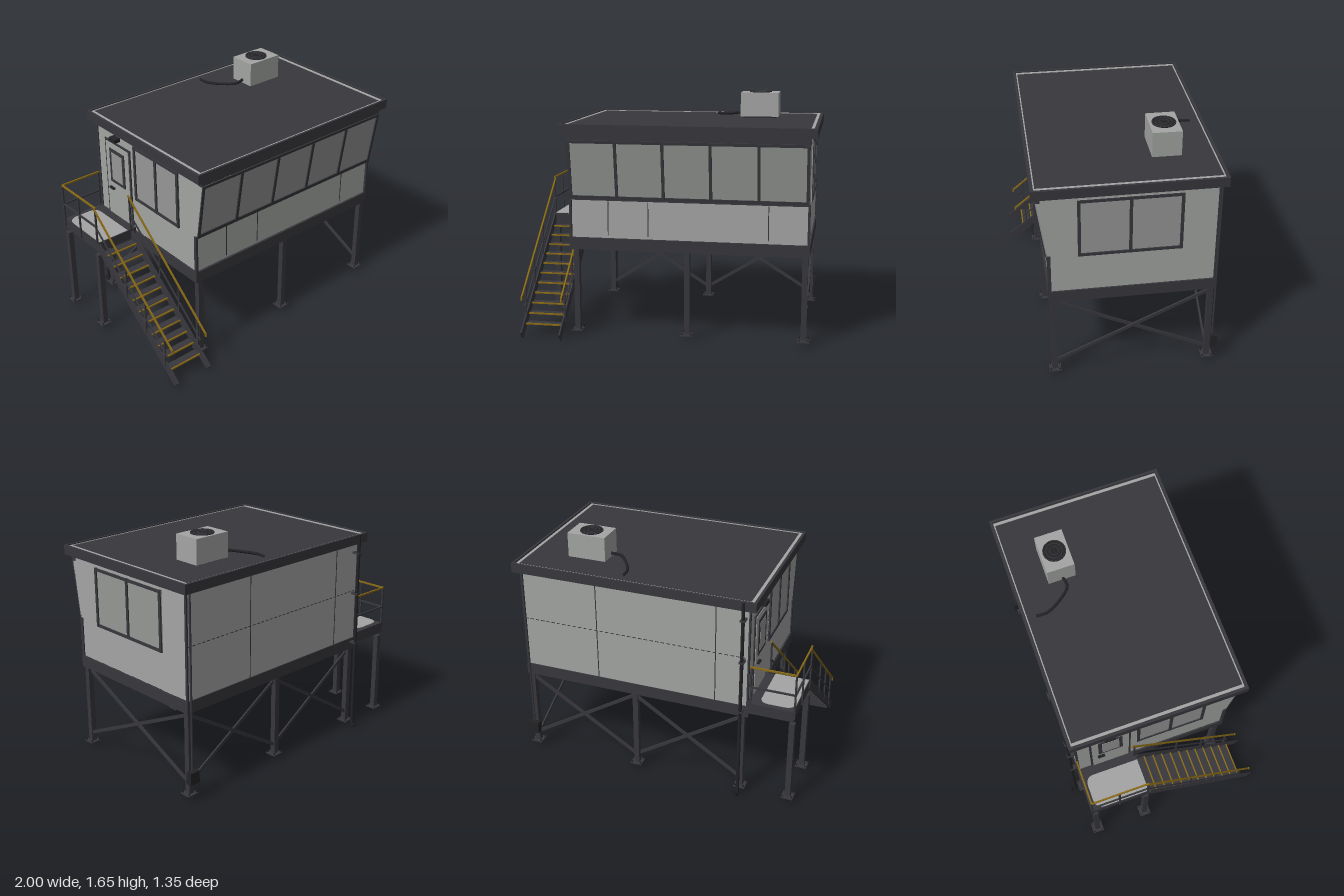
import * as THREE from 'three';

const mat = (name, color, side = THREE.FrontSide) => {
  const m = new THREE.MeshStandardMaterial({ color, side });
  m.name = name;
  return m;
};

export function createModel() {
  const steel = mat('dark steel', 0x38373d);
  const black = mat('black rubber', 0x232326);
  const wall = mat('light grey panel', 0xa3a5a3);
  const glass = mat('grey glass', 0x959795);
  const yellow = mat('safety yellow', 0x8a6a14);
  const root = new THREE.Group();
  root.name = 'raisedCabin';

  const add = (name, geo, m, parent = root) => {
    const o = new THREE.Mesh(geo, m);
    o.name = name;
    parent.add(o);
    return o;
  };
  // box given by its limits on each axis
  const box = (name, m, x0, x1, y0, y1, z0, z1, parent) => {
    const o = add(name, new THREE.BoxGeometry(x1 - x0, y1 - y0, z1 - z0), m, parent);
    o.position.set((x0 + x1) / 2, (y0 + y1) / 2, (z0 + z1) / 2);
    return o;
  };
  // straight bar between two points
  const bar = (name, m, a, b, w, h = w) => {
    const p = new THREE.Vector3(...a), q = new THREE.Vector3(...b);
    const o = add(name, new THREE.BoxGeometry(w, h, p.distanceTo(q)), m);
    o.position.copy(p).add(q).multiplyScalar(0.5);
    o.lookAt(q);
    return o;
  };
  const pipe = (name, m, pts, r, tension = 0.5) => {
    const c = new THREE.CatmullRomCurve3(pts.map(p => new THREE.Vector3(...p)), false, 'catmullrom', tension);
    return add(name, new THREE.TubeGeometry(c, pts.length * 8, r, 8), m);
  };
  // framed window in its own plane, facing local +z
  const windowUnit = (name, w, h, panes, bw) => {
    const g = new THREE.Group();
    g.name = name;
    root.add(g);
    box('windowGlass', glass, -w / 2, w / 2, -h / 2, h / 2, 0, 0.006, g);
    for (let i = 0; i <= panes; i++) {
      const x = -w / 2 + bw / 2 + (w - bw) * i / panes;
      box('windowMullion', steel, x - bw / 2, x + bw / 2, -h / 2, h / 2, 0, 0.014, g);
    }
    for (const s of [-1, 1]) {
      const y = s * (h - bw) / 2;
      box('windowRail', steel, -w / 2, w / 2, y - bw / 2, y + bw / 2, 0, 0.013, g);
    }
    return g;
  };

  // cabin body with outward leaning front
  const L = -0.655, R = 0.955;
  const profile = new THREE.Shape([[-0.585, 0.71], [0.485, 0.71], [0.485, 0.98], [0.497, 0.985], [0.555, 1.385], [0.555, 1.435], [-0.585, 1.435]]
    .map(p => new THREE.Vector2(...p)));
  const body = add('cabinBody', new THREE.ExtrudeGeometry(profile, { depth: R - L, bevelEnabled: false }), wall);
  body.rotation.y = -Math.PI / 2;
  body.position.x = R;
  box('frontHeader', steel, L - 0.005, R + 0.005, 1.38, 1.43, 0.53, 0.56);
  box('frontSill', steel, L, R, 0.972, 0.988, 0.48, 0.503);
  for (const x of [L, R]) {
    box('frontCornerTrim', steel, x - 0.008, x + 0.008, 0.71, 0.985, 0.478, 0.5);
    box('backCornerTrim', steel, x - 0.006, x + 0.006, 0.71, 1.43, -0.59, -0.574);
  }
  for (const x of [-0.395, -0.12, 0.69]) box('frontPanelSeam', steel, x - 0.003, x + 0.003, 0.73, 0.965, 0.484, 0.487);
  for (const x of [0.41, -0.43]) box('backPanelSeam', steel, x - 0.003, x + 0.003, 0.71, 1.43, -0.587, -0.584);
  for (let i = 0; i < 40; i++) {
    const x = L + 0.02 + i * 0.04;
    box('backSeamDash', steel, x, x + 0.024, 1.068, 1.073, -0.587, -0.584);
  }

  // windows
  const front = windowUnit('frontWindows', R - L, 0.404, 5, 0.02);
  front.position.set((L + R) / 2, 1.185, 0.526);
  front.rotation.x = Math.atan2(0.058, 0.4);
  const right = windowUnit('rightSideWindow', 0.665, 0.41, 2, 0.02);
  right.position.set(R, 1.18, -0.027);
  right.rotation.y = Math.PI / 2;
  const left = windowUnit('leftSideWindow', 0.48, 0.41, 2, 0.02);
  left.position.set(L, 1.18, 0.085);
  left.rotation.y = -Math.PI / 2;

  // door with window, handle and lamp
  box('doorFrame', steel, L - 0.008, L, 0.72, 1.325, -0.49, -0.2);
  box('doorLeaf', wall, L - 0.012, L, 0.725, 1.31, -0.475, -0.215);
  box('doorWindowFrame', steel, L - 0.017, L, 1.01, 1.27, -0.43, -0.26);
  box('doorWindowGlass', glass, L - 0.019, L, 1.035, 1.245, -0.405, -0.285);
  box('doorHandle', black, L - 0.03, L, 0.955, 0.967, -0.44, -0.39);
  box('doorLamp', black, L - 0.045, L, 1.352, 1.378, -0.385, -0.315);

  // roof slab, parapet and pale edge flashing
  box('roofDeck', steel, -0.69, 0.99, 1.43, 1.481, -0.615, 0.575);
  for (const [x0, x1] of [[-0.705, -0.688], [0.983, 1]]) box('sideFascia', steel, x0, x1, 1.425, 1.49, -0.625, 0.588);
  for (const [z0, z1] of [[-0.628, -0.612], [0.573, 0.588]]) box('longFascia', steel, -0.705, 1, 1.425, 1.49, z0, z1);
  for (const [x0, x1] of [[-0.683, -0.663], [0.955, 0.975]]) box('sideFlashing', wall, x0, x1, 1.478, 1.485, -0.607, 0.566);
  for (const z of [-0.607, 0.558]) box('longFlashing', wall, -0.683, 0.975, 1.478, 1.485, z, z + 0.008);

  // rooftop cooling unit and hose
  box('coolerFoot', black, 0.44, 0.67, 1.48, 1.495, -0.37, -0.22);
  box('coolerBody', wall, 0.42, 0.69, 1.49, 1.66, -0.39, -0.2);
  add('coolerFan', new THREE.CylinderGeometry(0.078, 0.078, 0.006, 32), black).position.set(0.555, 1.662, -0.295);
  for (const r of [0.03, 0.054, 0.075]) {
    const ring = add('fanGuardRing', new THREE.TorusGeometry(r, 0.003, 6, 32), steel);
    ring.rotation.x = Math.PI / 2;
    ring.position.set(0.555, 1.665, -0.295);
  }
  pipe('coolerHose', black, [[0.43, 1.515, -0.29], [0.35, 1.505, -0.285], [0.275, 1.495, -0.37], [0.23, 1.49, -0.46], [0.23, 1.485, -0.54]], 0.01);

  // floor frame and joists
  box('floorSlab', black, L, R, 0.68, 0.715, -0.58, 0.48);
  for (const [z0, z1] of [[-0.592, -0.555], [0.46, 0.5]]) box('longFloorBeam', steel, -0.665, 0.965, 0.63, 0.712, z0, z1);
  for (const [x0, x1] of [[-0.665, -0.63], [0.93, 0.965]]) box('sideFloorBeam', steel, x0, x1, 0.63, 0.712, -0.59, 0.498);
  for (let i = 1; i < 8; i++) {
    const x = -0.648 + i * 0.2;
    box('floorJoist', steel, x - 0.012, x + 0.012, 0.645, 0.69, -0.56, 0.465);
  }

  // legs with foot plates
  const leg = (x, z) => {
    box('leg', steel, x - 0.019, x + 0.019, 0.05, 0.64, z - 0.019, z + 0.019);
    box('footPlate', steel, x - 0.04, x + 0.04, 0.05, 0.06, z - 0.04, z + 0.04);
    for (const sx of [-1, 1]) for (const sz of [-1, 1])
      add('anchorBolt', new THREE.CylinderGeometry(0.005, 0.005, 0.016, 6), black).position.set(x + sx * 0.03, 0.064, z + sz * 0.03);
  };
  const legX = [-0.62, 0.145, 0.935];
  for (const x of legX) for (const z of [0.47, -0.565]) leg(x, z);
  for (const z of [-0.195, -0.57]) leg(-0.96, z);

  // cross braces on back and right side
  for (let i = 0; i < 2; i++) {
    const a = legX[i], b = legX[i + 1];
    bar('backBrace', steel, [a, 0.12, -0.57], [b, 0.61, -0.57], 0.012, 0.022);
    bar('backBrace', steel, [a, 0.61, -0.557], [b, 0.12, -0.557], 0.012, 0.022);
  }
  bar('sideBrace', steel, [0.942, 0.12, 0.47], [0.942, 0.61, -0.56], 0.012, 0.022);
  bar('sideBrace', steel, [0.929, 0.61, 0.47], [0.929, 0.12, -0.56], 0.012, 0.022);

  // downpipe, conduit and junction box
  pipe('downpipe', black, [[-0.62, 1.485, -0.625], [-0.62, 1.1, -0.625], [-0.62, 0.5, -0.63], [-0.62, 0.08, -0.632], [-0.62, 0.02, -0.64], [-0.62, 0.055, -0.668]], 0.012, 0.2);
  for (const y of [0.68, 1.05, 1.35]) box('pipeBracket', steel, -0.637, -0.603, y, y + 0.012, -0.64, -0.58);
  pipe('conduit', steel, [[0.94, 0.2, -0.6], [0.94, 0.8, -0.6], [0.94, 1.43, -0.6]], 0.007);
  box('junctionBox', black, 0.9, 0.975, 0.145, 0.23, -0.625, -0.583);

  // landing
  const PL = -0.97, PR = -0.7;
  box('landingFrame', steel, PL, -0.66, 0.665, 0.742, -0.595, -0.175);
  const deck = new THREE.Shape();
  deck.moveTo(-0.965, 0.175).lineTo(-0.73, 0.175).lineTo(-0.73, 0.5);
  deck.quadraticCurveTo(-0.73, 0.56, -0.8, 0.56).lineTo(-0.89, 0.56).quadraticCurveTo(-0.965, 0.56, -0.965, 0.49);
  const deckMesh = add('landingDeck', new THREE.ExtrudeGeometry(deck, { depth: 0.005, bevelEnabled: false }), wall);
  deckMesh.rotation.x = -Math.PI / 2;
  deckMesh.position.y = 0.741;

  // stair treads with yellow nosings, and stringers
  for (let i = 0; i < 11; i++) {
    const z = 0.575 - i * 0.0685, y = 0.105 + i * 0.055;
    box('stairTread', steel, PL, PR, y - 0.008, y + 0.003, z - 0.062, z - 0.008);
    box('treadNosing', yellow, PL + 0.005, PR - 0.005, y - 0.006, y + 0.004, z - 0.008, z + 0.002);
  }
  for (const x of [PL, PR]) bar('stairStringer', steel, [x, 0.043, 0.658], [x, 0.716, -0.178], 0.01, 0.062);

  // stair rails on both sides
  const railY = z => 0.31 + 0.84 * (0.62 - z);
  for (const x of [PL - 0.004, PR + 0.004]) {
    bar('stairHandrail', yellow, [x, railY(0.62), 0.62], [x, railY(-0.2), -0.2], 0.011);
    bar('handrailEnd', yellow, [x, 0.315, 0.625], [x, 0.285, 0.63], 0.011);
    bar('stairMidrail', steel, [x, 0.22, 0.57], [x, 0.86, -0.19], 0.009);
    for (const z of [0.545, 0.345, 0.14, -0.185])
      bar('stairPost', steel, [x, railY(z) - 0.25, z], [x, railY(z), z], 0.011);
  }

  // landing rails
  const bz = -0.588, lx = PL - 0.004;
  for (const [name, m, y] of [['landingHandrail', yellow, 1.013], ['landingMidrail', steel, 0.865]]) {
    bar(name, m, [lx, y, bz], [lx, y, -0.18], 0.011);
    bar(name, m, [lx, y, bz], [-0.668, y, bz], 0.011);
  }
  for (const [x, z] of [[lx, bz], [-0.675, bz], [lx, -0.39]]) bar('landingPost', steel, [x, 0.68, z], [x, 1.01, z], 0.011);

  return root;
}
